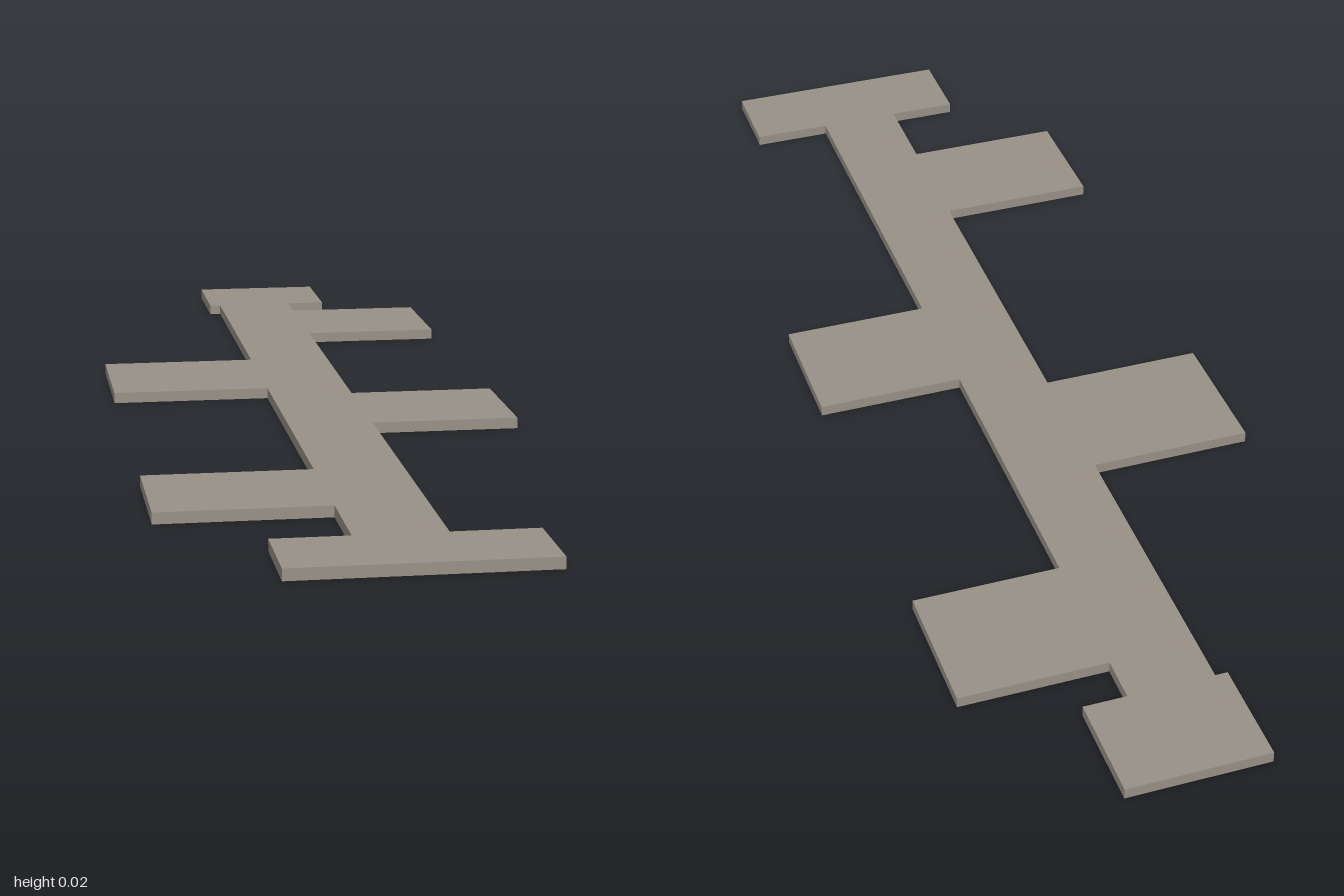
import * as THREE from 'three';

const THICKNESS = 0.018;
const SPINE_LEFT = 0.08;
const SPINE_RIGHT = -0.06;

// Branches along each side of the spine: [outer x, z start, z end], back to front
const LEFT_BRANCHES = [
  [0.15, -1, -0.825],
  [0.32, -0.75, -0.525],
  [0.325, -0.012, 0.207],
  [0.214, 0.857, 1],
];
const RIGHT_BRANCHES = [
  [-0.08, -1, -0.825],
  [-0.328, -0.304, -0.069],
  [-0.328, 0.49, 0.7],
  [-0.178, 0.857, 1],
];

// Stepped edge of one side; the end branches close the outline at z = -1 and z = 1
function sideEdge(spineX, branches) {
  const points = [];
  branches.forEach(([x, z0, z1], i) => {
    if (i > 0) points.push(new THREE.Vector2(spineX, z0));
    points.push(new THREE.Vector2(x, z0), new THREE.Vector2(x, z1));
    if (i < branches.length - 1) points.push(new THREE.Vector2(spineX, z1));
  });
  return points;
}

export function createModel() {
  const model = new THREE.Group();
  model.name = 'branchingFloorPlate';

  const stone = new THREE.MeshStandardMaterial({ color: 0x9a9288 });
  stone.name = 'warm grey stone';

  // Corridor spine with side rooms, as one flat slab
  const outline = new THREE.Shape([
    ...sideEdge(SPINE_LEFT, LEFT_BRANCHES),
    ...sideEdge(SPINE_RIGHT, RIGHT_BRANCHES).reverse(),
  ]);
  const geometry = new THREE.ExtrudeGeometry(outline, { depth: THICKNESS, bevelEnabled: false });
  geometry.rotateX(Math.PI / 2); // outline y becomes z
  geometry.translate(0, THICKNESS, 0);

  const slab = new THREE.Mesh(geometry, stone);
  slab.name = 'floorSlab';
  model.add(slab);
  return model;
}
